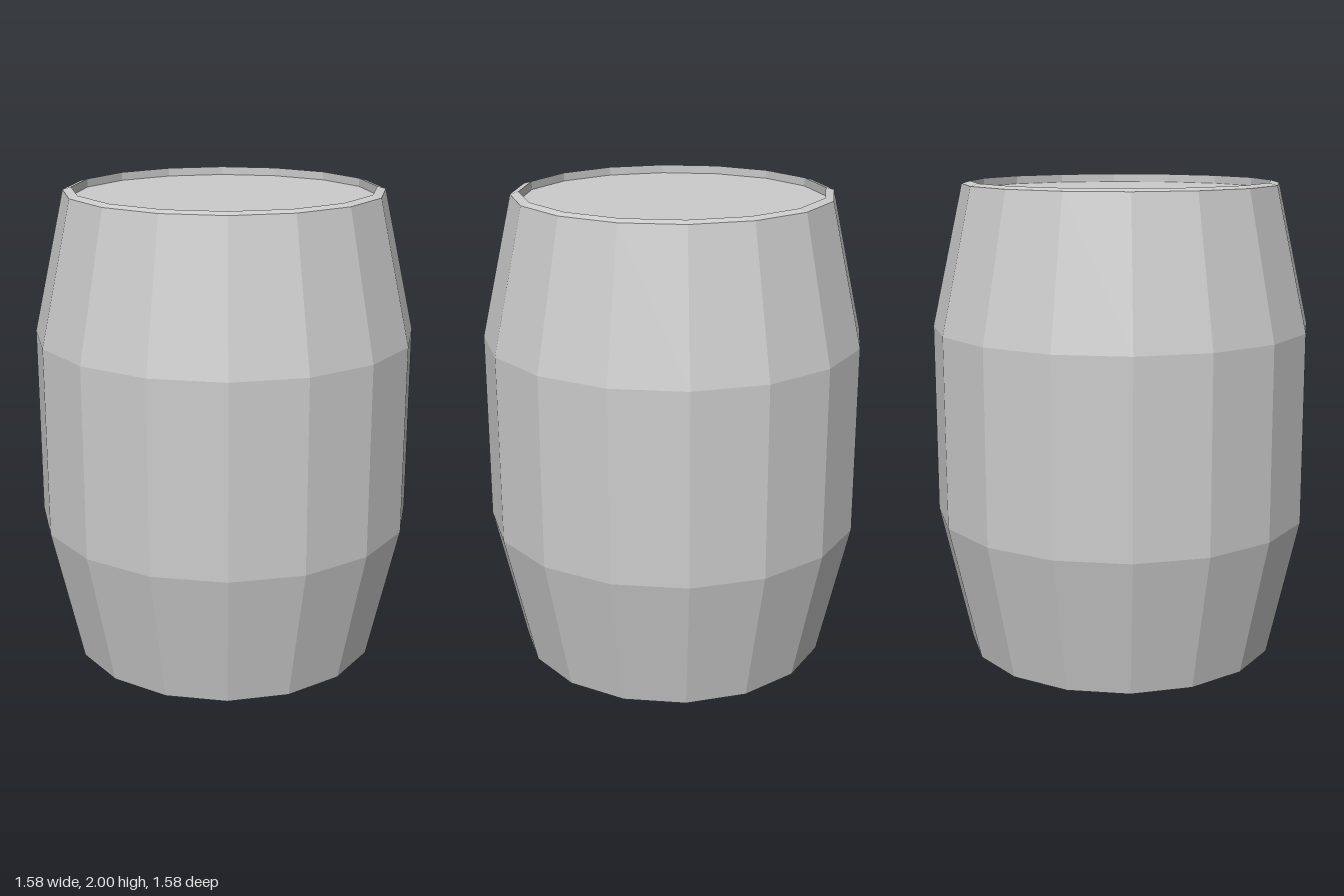
import * as THREE from 'three';

const SIDES = 16;

export function createModel() {
  const group = new THREE.Group();
  group.name = 'barrel';
  const material = new THREE.MeshStandardMaterial({ color: 0xcccccc, flatShading: true });

  const lathe = (name, profile) => {
    const points = profile.map(([r, y]) => new THREE.Vector2(r, y));
    const mesh = new THREE.Mesh(new THREE.LatheGeometry(points, SIDES), material);
    mesh.name = name;
    group.add(mesh);
  };

  // Bulging staves with a straight middle band
  lathe('staves', [[0.66, 0.01], [0.792, 0.6], [0.792, 1.4], [0.66, 1.99]]);

  // Slightly sloped rim and the short wall down to the recessed head
  lathe('topRim', [[0.66, 1.99], [0.625, 2], [0.625, 1.965]]);
  lathe('bottomRim', [[0.625, 0.035], [0.625, 0], [0.66, 0.01]]);

  // Flat recessed heads, turned so their corners meet the rim
  for (const [name, y, tilt] of [['topHead', 1.965, -1], ['bottomHead', 0.035, 1]]) {
    const head = new THREE.Mesh(new THREE.CircleGeometry(0.625, SIDES), material);
    head.name = name;
    head.rotation.x = tilt * Math.PI / 2;
    head.position.y = y;
    group.add(head);
  }

  return group;
}
